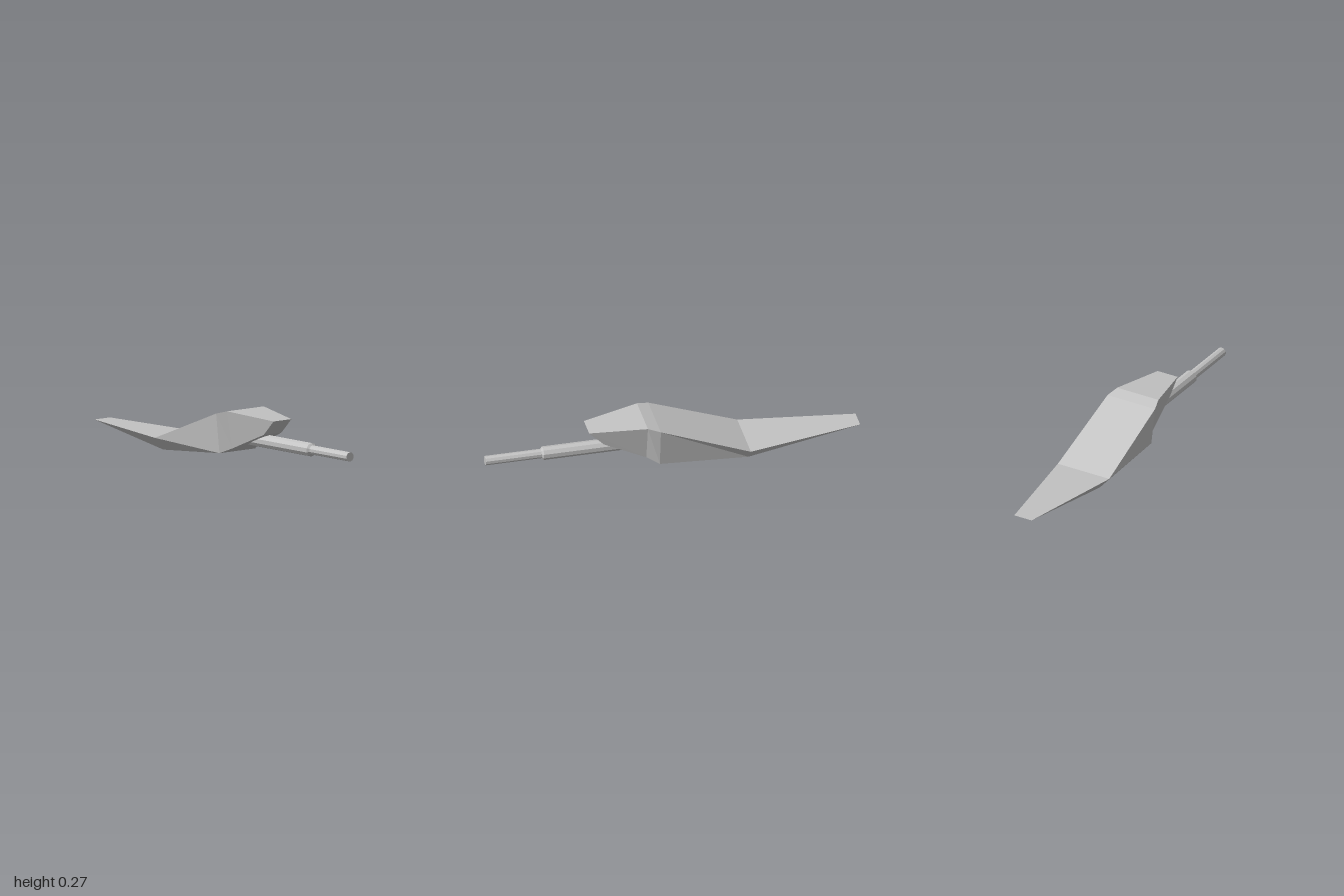
import * as THREE from 'three';

// Faceted solid from four-cornered sections: [x top, y top, half width top, x bottom, y bottom, half width bottom]
function loftSections(sections) {
  const rings = sections.map(([xt, yt, zt, xb, yb, zb]) => [
    new THREE.Vector3(xt, yt, zt), new THREE.Vector3(xt, yt, -zt),
    new THREE.Vector3(xb, yb, -zb), new THREE.Vector3(xb, yb, zb),
  ]);
  const points = [];
  const addTriangle = (a, b, c) => {
    if (a.equals(b) || b.equals(c) || a.equals(c)) return;
    points.push(a, b, c);
  };
  for (let i = 0; i < rings.length - 1; i++) {
    for (let k = 0; k < 4; k++) {
      const n = (k + 1) % 4;
      const [a, b, c, d] = [rings[i][k], rings[i][n], rings[i + 1][k], rings[i + 1][n]];
      addTriangle(a, c, b);
      addTriangle(b, c, d);
    }
  }
  // closing face at the +x end
  const [p, q, r, s] = rings[rings.length - 1];
  addTriangle(p, s, r);
  addTriangle(p, r, q);
  const geometry = new THREE.BufferGeometry().setFromPoints(points);
  geometry.computeVertexNormals();
  return geometry;
}

export function createModel() {
  const group = new THREE.Group();
  group.name = 'bladedBarrel';
  const metal = new THREE.MeshStandardMaterial({ color: 0xc2c2c2 });
  metal.name = 'greyMetal';

  // Tapered housing, drawn out to a flat edge at -x
  const housing = new THREE.Mesh(loftSections([
    [-1, 0.08, 0.053, -1, 0.08, 0.053],
    [-0.39, 0.068, 0.157, -0.39, 0, 0.099],
    [0.09, 0.254, 0.145, 0.09, 0.042, 0.122],
    [0.155, 0.272, 0.126, 0.155, 0.072, 0.088],
    [0.455, 0.248, 0.061, 0.375, 0.167, 0.061],
  ]), metal);
  housing.name = 'housing';
  group.add(housing);

  // Ten-sided stepped barrel along x, with a short bevel at the step
  const profile = [[0, 0.12], [0.036, 0.12], [0.036, 0.69], [0.025, 0.7], [0.025, 1], [0, 1]]
    .map(([r, x]) => new THREE.Vector2(r, x));
  const barrelGeometry = new THREE.LatheGeometry(profile, 10, Math.PI / 2).toNonIndexed();
  barrelGeometry.computeVertexNormals();
  const barrel = new THREE.Mesh(barrelGeometry, metal);
  barrel.name = 'barrel';
  barrel.rotation.z = -Math.PI / 2;
  barrel.position.y = 0.121;
  group.add(barrel);

  return group;
}
